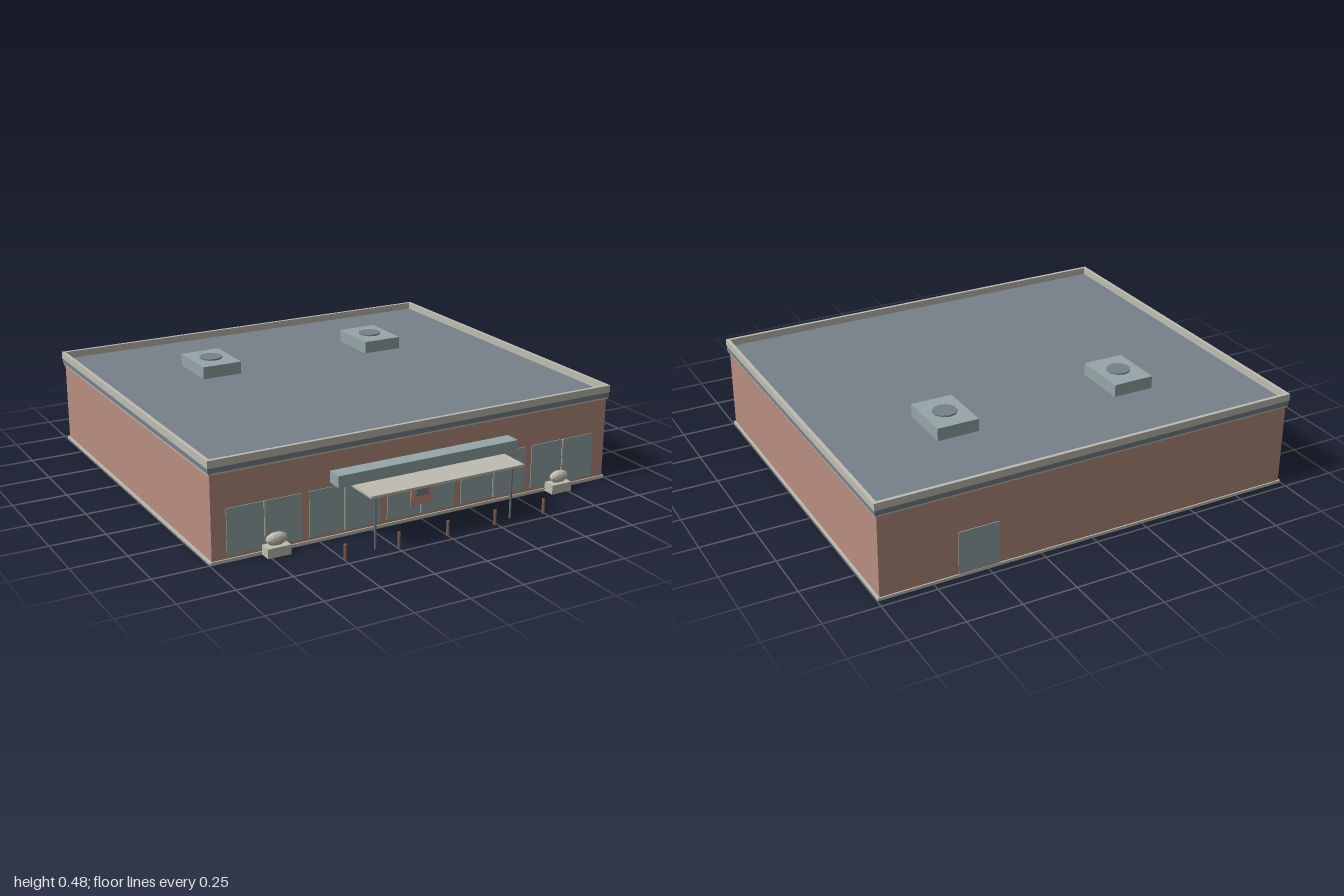
import * as THREE from 'three';

const material = (name, color) => {
  const m = new THREE.MeshStandardMaterial({ color });
  m.name = name;
  return m;
};

export function createModel() {
  const brick = material('brick', 0xb78e7f);
  const concrete = material('concrete', 0xbfbdb2);
  const slate = material('slate', 0x77808a);
  const glass = material('glass', 0x95a6a8);
  const metal = material('dark metal', 0x656c72);
  const post = material('bollard brown', 0x86604f);
  const poster = material('poster', 0xc48f7f);

  const model = new THREE.Group();
  model.name = 'storeBuilding';

  const add = (name, geometry, mat, parent = model) => {
    const mesh = new THREE.Mesh(geometry, mat);
    mesh.name = name;
    parent.add(mesh);
    return mesh;
  };
  // Box given by its limits on each axis
  const box = (name, mat, x0, x1, y0, y1, z0, z1) => {
    const mesh = add(name, new THREE.BoxGeometry(x1 - x0, y1 - y0, z1 - z0), mat);
    mesh.position.set((x0 + x1) / 2, (y0 + y1) / 2, (z0 + z1) / 2);
    return mesh;
  };
  const cylinder = (name, mat, r, x, y0, y1, z, sides) => {
    const geometry = new THREE.CylinderGeometry(r, r, y1 - y0, sides).toNonIndexed();
    const mesh = add(name, geometry, mat);
    mesh.position.set(x, (y0 + y1) / 2, z);
    return mesh;
  };

  const back = -0.967, front = 0.755, wallFront = 0.746;

  // Main shell
  box('plinth', concrete, -0.997, 0.997, 0, 0.013, back + 0.003, front - 0.003);
  box('walls', brick, -0.988, 0.988, 0.013, 0.386, -0.958, wallFront);
  box('lowerTrim', concrete, -0.995, 0.995, 0.385, 0.394, back + 0.005, front - 0.005);
  box('roofBand', slate, -0.998, 0.998, 0.394, 0.417, back + 0.002, front - 0.002);

  // Parapet: a rectangular ring around the flat roof
  const rectangle = (Type, w, d) => new Type().moveTo(-w, -d).lineTo(w, -d).lineTo(w, d).lineTo(-w, d).closePath();
  const depth = (front - back) / 2;
  const ring = rectangle(THREE.Shape, 1, depth);
  ring.holes.push(rectangle(THREE.Path, 0.984, depth - 0.016));
  const parapet = add('parapet', new THREE.ExtrudeGeometry(ring, { depth: 0.033, bevelEnabled: false }), concrete);
  parapet.rotation.x = -Math.PI / 2;
  parapet.position.set(0, 0.417, (front + back) / 2);

  // Rooftop units with a fan on top
  for (const x of [-0.437, 0.437]) {
    box('rooftopUnit', glass, x - 0.097, x + 0.097, 0.417, 0.475, -0.575, -0.318);
    cylinder('rooftopFan', slate, 0.055, x, 0.475, 0.482, -0.447, 10);
  }

  // Shop windows, each with a central mullion
  for (const x of [-0.75, -0.375, 0, 0.375, 0.75]) {
    box('shopWindow', glass, x - 0.171, x + 0.171, 0.026, 0.232, wallFront, wallFront + 0.004);
    box('mullion', concrete, x - 0.004, x + 0.004, 0.026, 0.232, wallFront + 0.004, wallFront + 0.007);
  }
  box('doorPoster', poster, -0.055, 0.055, 0.07, 0.185, wallFront + 0.004, wallFront + 0.009);
  box('posterPanel', slate, -0.032, 0.032, 0.11, 0.16, wallFront + 0.009, wallFront + 0.012);

  // Service door at the back
  box('backDoor', glass, 0.45, 0.635, 0.013, 0.212, -0.962, -0.958);

  // Entrance fascia and canopy
  box('entranceFascia', glass, -0.447, 0.447, 0.252, 0.304, wallFront, 0.82);
  box('canopy', concrete, -0.378, 0.378, 0.242, 0.253, wallFront, 0.967);
  for (const x of [-0.338, 0.338]) cylinder('canopyPost', metal, 0.005, x, 0, 0.242, 0.932, 8);

  // Bollards
  for (const x of [-0.495, -0.24, 0, 0.24, 0.495]) cylinder('bollard', post, 0.007, x, 0, 0.068, 0.96, 8);

  // Planters with faceted rounded tops
  const faceted = concrete.clone();
  faceted.name = 'faceted concrete';
  faceted.flatShading = true;
  for (const x of [-0.713, 0.713]) {
    box('planter', concrete, x - 0.053, x + 0.053, 0, 0.043, front - 0.005, 0.807);
    const shrub = add('planterShrub', new THREE.IcosahedronGeometry(1, 1), faceted);
    shrub.scale.set(0.05, 0.03, 0.023);
    shrub.position.set(x, 0.071, 0.781);
  }
  return model;
}
